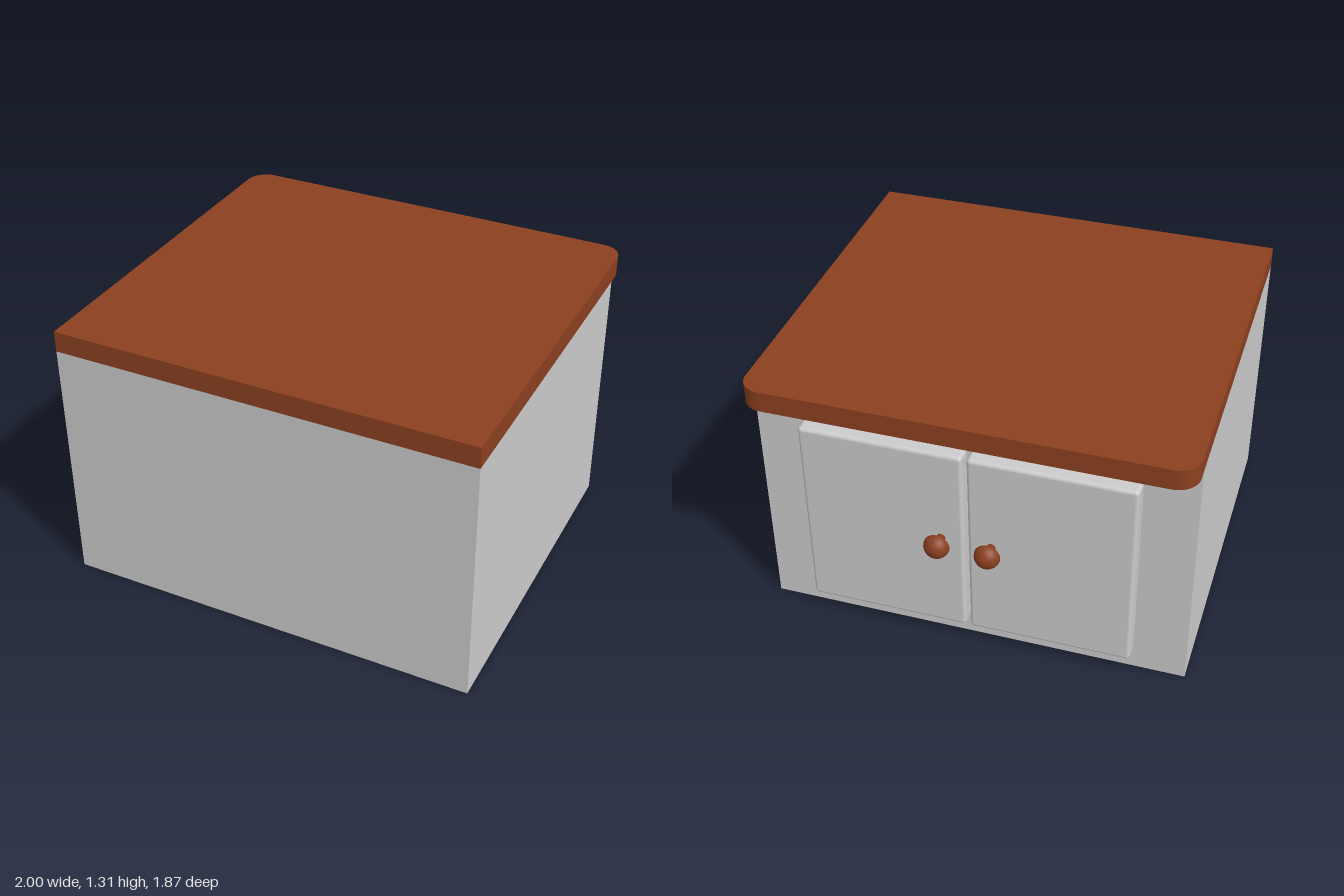
import * as THREE from 'three';
import { RoundedBoxGeometry } from 'three/addons/geometries/RoundedBoxGeometry.js';

export function createModel() {
  const group = new THREE.Group();
  const grey = new THREE.MeshStandardMaterial({ color: 0xcccccc });
  const wood = new THREE.MeshStandardMaterial({ color: 0x8b4020 });

  const add = (name, geometry, material, x, y, z) => {
    const mesh = new THREE.Mesh(geometry, material);
    mesh.name = name;
    mesh.position.set(x, y, z);
    group.add(mesh);
    return mesh;
  };

  // Cabinet body
  add('cabinetBody', new THREE.BoxGeometry(2, 1.21, 1.67), grey, 0, 0.605, 0.095);

  // Worktop: square along +z, rounded corners on the overhanging door side
  const r = 0.1;
  const outline = new THREE.Shape();
  outline.moveTo(-1, -0.93);
  outline.lineTo(1, -0.93);
  outline.lineTo(1, 0.9 - r);
  outline.absarc(1 - r, 0.9 - r, r, 0, Math.PI / 2);
  outline.lineTo(r - 1, 0.9);
  outline.absarc(r - 1, 0.9 - r, r, Math.PI / 2, Math.PI);
  outline.closePath();
  const topGeometry = new THREE.ExtrudeGeometry(outline, { depth: 0.1, bevelEnabled: false, curveSegments: 4 });
  topGeometry.rotateX(-Math.PI / 2);
  add('worktop', topGeometry, wood, 0, 1.21, 0);

  // Knob profile: stem, flare, then domed face
  const profile = [[0.02, 0], [0.02, 0.025], [0.053, 0.05]];
  for (let i = 0; i <= 8; i++) {
    const a = (i / 8) * Math.PI / 2;
    profile.push([0.06 * Math.cos(a), 0.058 + 0.057 * Math.sin(a)]);
  }
  const knobGeometry = new THREE.LatheGeometry(profile.map(([x, y]) => new THREE.Vector2(Math.max(x, 0), y)), 24);
  knobGeometry.rotateX(-Math.PI / 2);

  // Pair of doors with softened edges, each with a knob near the centre gap
  const doorGeometry = new RoundedBoxGeometry(0.755, 0.98, 0.12, 3, 0.018);
  for (const [side, s] of [['left', 1], ['right', -1]]) {
    add(side + 'Door', doorGeometry, grey, 0.01 + s * 0.3875, 0.6, -0.76);
    add(side + 'Knob', knobGeometry, wood, 0.008 + s * 0.117, 0.625, -0.82);
  }
  return group;
}
